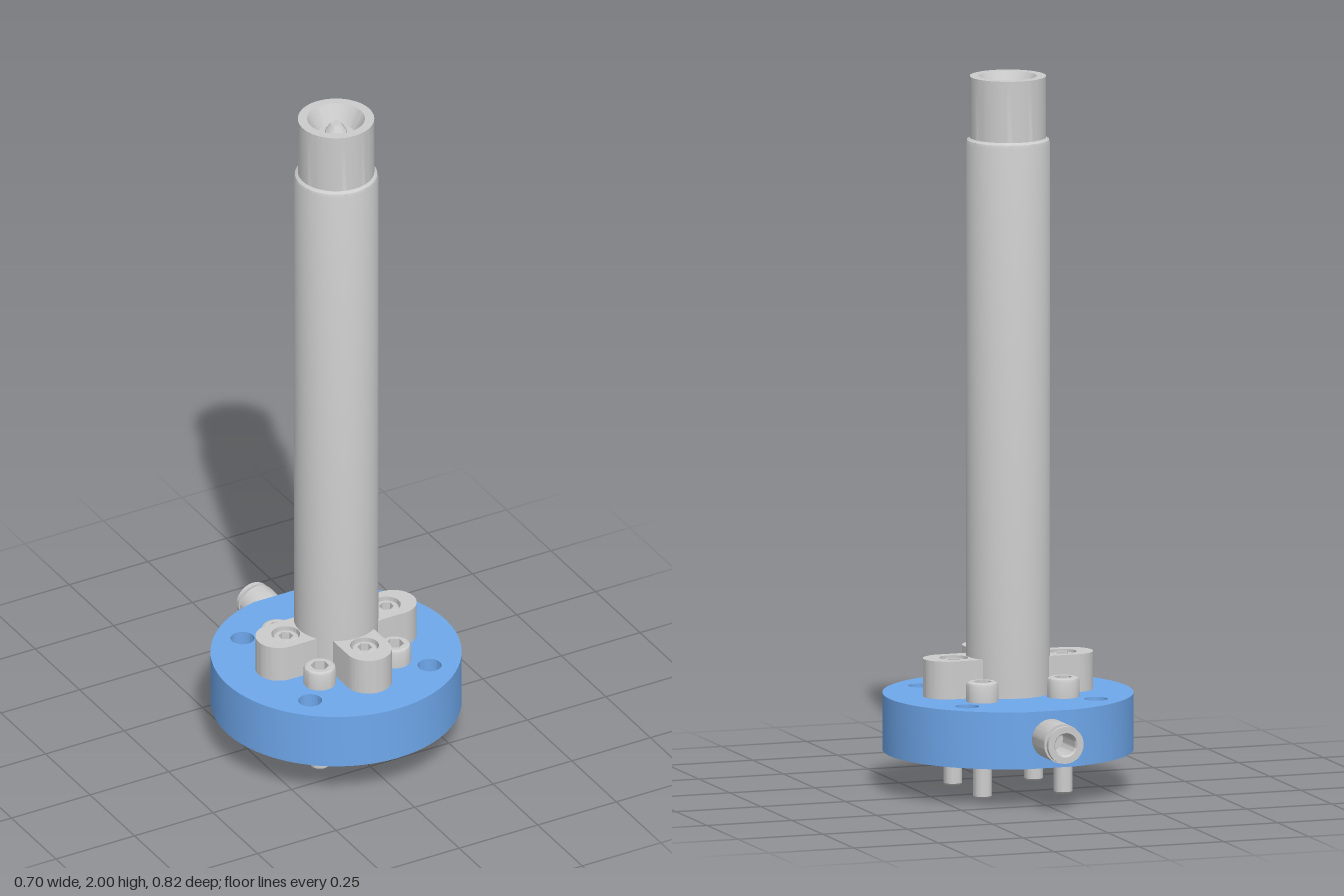
import * as THREE from 'three';
import { toCreasedNormals } from 'three/addons/utils/BufferGeometryUtils.js';

const grey = new THREE.MeshStandardMaterial({ color: 0xcccccc });
const blue = new THREE.MeshStandardMaterial({ color: 0x6fa8ec });
const AXIS_Z = 0.058; // column axis
const BASE = 0.11, DECK = 0.27;
const BOLT = 0.119, CLAMP_BOLT = 0.16, HOLE = 0.19;
const corners = [[1, 1], [1, -1], [-1, 1], [-1, -1]];

function add(parent, name, geometry, material = grey) {
  const mesh = new THREE.Mesh(toCreasedNormals(geometry, 0.5), material);
  mesh.name = name;
  parent.add(mesh);
  return mesh;
}

// Surface of revolution about y; profile runs up the outside
const lathe = (points, segments = 48) =>
  new THREE.LatheGeometry(points.map(([r, y]) => new THREE.Vector2(r, y)), segments);

// Plan shape (x, -z) extruded upward from y0 to y1
function prism(shape, y0, y1) {
  const g = new THREE.ExtrudeGeometry(shape, { depth: y1 - y0, bevelEnabled: false, curveSegments: 32 });
  return g.rotateX(-Math.PI / 2).translate(0, y0, 0);
}

function circle(x, y, r) {
  const p = new THREE.Path();
  p.absarc(x, y, r, 0, Math.PI * 2, true);
  return p;
}

// Socket head screw with a hexagonal recess
function screw(name, headR, headBottom, headTop, shankR, shankBottom, seatR) {
  const g = new THREE.Group();
  g.name = name;
  const c = headR * 0.2, rim = headR - c, hexR = headR * 0.58, depth = (headTop - headBottom) * 0.55;
  add(g, 'screwBody', lathe([
    [0, shankBottom], [shankR - 0.004, shankBottom], [shankR, shankBottom + 0.005],
    [shankR, headBottom - 0.005], [seatR, headBottom - 0.005], [seatR, headBottom],
    [headR, headBottom], [headR, headTop - c], [headR - c * 0.3, headTop - c * 0.3], [rim, headTop],
  ], 32));
  const top = new THREE.Shape().absarc(0, 0, rim, 0, Math.PI * 2, false);
  const hex = [];
  for (let i = 0; i < 6; i++) {
    const a = Math.PI / 2 - i * Math.PI / 3;
    hex.push(new THREE.Vector2(hexR * Math.cos(a), hexR * Math.sin(a)));
  }
  top.holes.push(new THREE.Path(hex));
  add(g, 'hexSocket', prism(top, headTop - depth, headTop));
  add(g, 'socketFloor', new THREE.CircleGeometry(rim, 24).rotateX(-Math.PI / 2).translate(0, headTop - depth, 0));
  return g;
}

export function createModel() {
  const model = new THREE.Group();
  const body = new THREE.Group();
  body.name = 'sensorBody';
  body.position.z = AXIS_Z;
  model.add(body);

  // Mounting flange with a small flat at the back
  const flat = Math.acos(0.341 / 0.348);
  const disc = new THREE.Shape();
  disc.absarc(0, 0, 0.348, Math.PI / 2 + flat, Math.PI * 2.5 - flat, false);
  disc.closePath();
  disc.holes.push(circle(0, 0, 0.095));
  for (const [sx, sy] of corners) disc.holes.push(circle(sx * HOLE, sy * HOLE, 0.033));
  for (const [x, y] of [[1, 0], [-1, 0], [0, -1]]) {
    disc.holes.push(circle(x * CLAMP_BOLT, y * CLAMP_BOLT, 0.024));
  }
  add(body, 'flange', prism(disc, BASE, DECK), blue);

  // Column with stepped neck, conical cup and centre pin
  add(body, 'column', lathe([
    [0, 0.2], [0.094, 0.2], [0.094, DECK], [0.117, DECK], [0.117, 1.812], [0.114, 1.822], [0.106, 1.828],
    [0.106, 2], [0.08, 2], [0.052, 1.95], [0.03, 1.95], [0.03, 1.962], [0.015, 1.985], [0, 1.985],
  ], 64));

  // Four screws passing through the flange
  for (const [sx, sz] of corners) {
    const s = screw('flangeScrew', 0.045, DECK, 0.325, 0.026, 0, 0.03);
    s.position.set(sx * BOLT, 0, sz * BOLT);
    body.add(s);
  }

  // Three round-ended clamps, each with a recessed screw
  const slot = new THREE.Shape();
  slot.moveTo(0.095, -0.065);
  slot.lineTo(0.182, -0.065);
  slot.absarc(0.182, 0, 0.065, -Math.PI / 2, Math.PI / 2, false);
  slot.lineTo(0.095, 0.065);
  slot.closePath();
  slot.holes.push(circle(CLAMP_BOLT, 0, 0.04));
  for (const angle of [0, Math.PI, -Math.PI / 2]) {
    const clamp = new THREE.Group();
    clamp.name = 'clamp';
    clamp.rotation.y = angle;
    add(clamp, 'clampBlock', prism(slot, DECK, 0.376));
    const s = screw('clampScrew', 0.036, 0.32, 0.37, 0.023, 0.14, 0.0405);
    s.position.x = CLAMP_BOLT;
    s.rotation.y = -angle;
    clamp.add(s);
    body.add(clamp);
  }

  // Hollow tube fitting on the back flat
  const fitting = add(model, 'tubeFitting', lathe([
    [0, -0.01], [0.05, -0.01], [0.055, 0.004], [0.055, 0.102], [0.036, 0.102], [0.036, 0.113],
    [0.052, 0.113], [0.052, 0.127], [0.034, 0.127], [0.03, 0.12], [0.03, 0.02], [0, 0.02],
  ]));
  fitting.rotation.x = -Math.PI / 2;
  fitting.position.set(0, 0.193, -0.283);

  return model;
}
